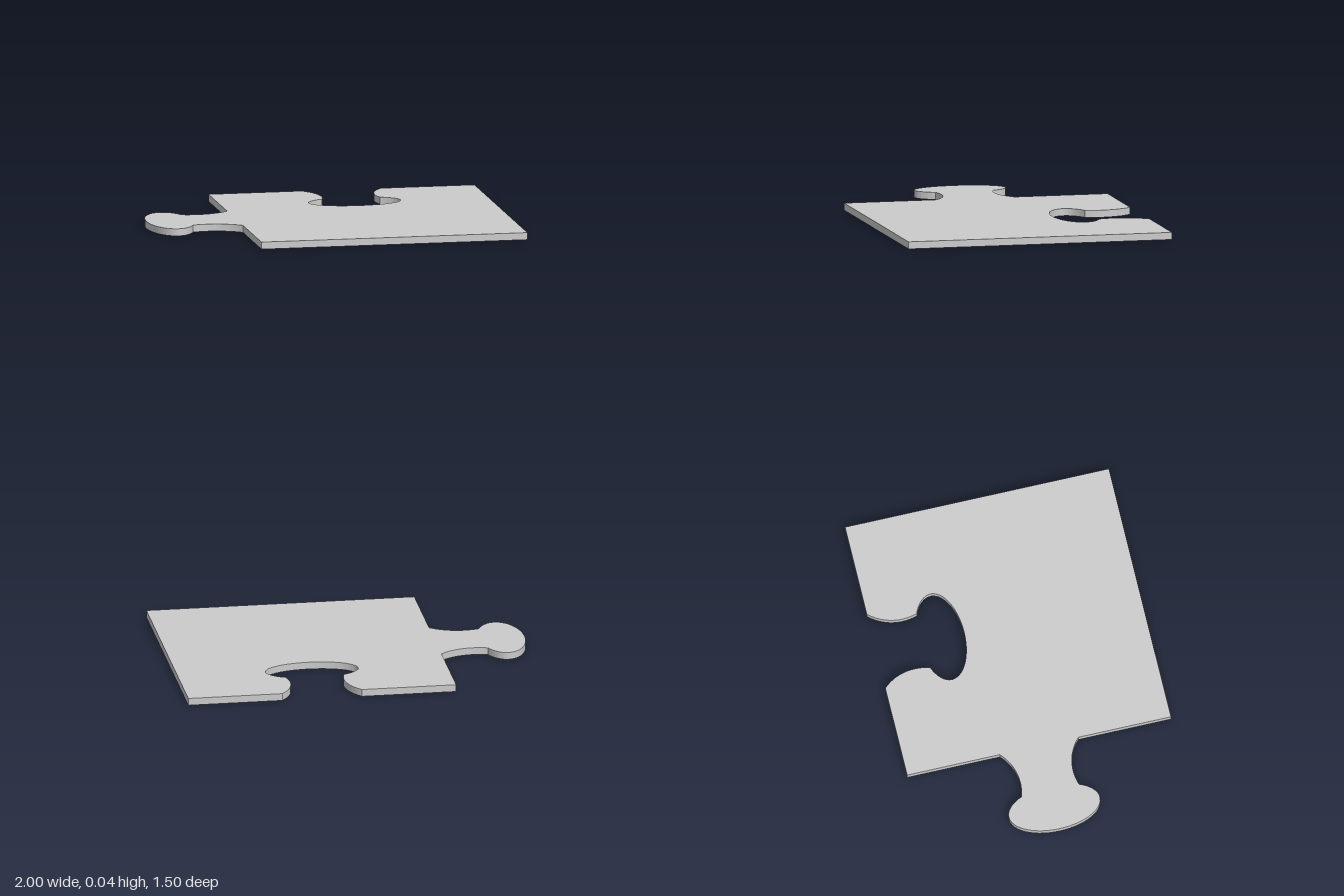
import * as THREE from 'three';

// Half-knob outline mirrored into a full one: x = depth from the edge, y = sideways offset
function knobProfile() {
  const half = [];
  // concave neck, a circular arc
  const r = 0.27, midDepth = 0.185, midWidth = 0.42, neckEnd = 0.27;
  for (let i = 0; i <= 12; i++) {
    const d = (neckEnd * i) / 12;
    half.push(new THREE.Vector2(d, midWidth - Math.sqrt(r * r - (d - midDepth) ** 2)));
  }
  // elliptical head, from the neck to the tip
  const start = Math.acos(-0.72);
  for (let i = 0; i <= 20; i++) {
    const a = start * (1 - i / 20);
    half.push(new THREE.Vector2(0.37 + 0.13 * Math.cos(a), 0.259 * Math.sin(a)));
  }
  const mirrored = half.slice(0, -1).reverse().map((p) => new THREE.Vector2(p.x, -p.y));
  return [...half, ...mirrored];
}

export function createModel() {
  const group = new THREE.Group();
  group.name = 'puzzlePiece';

  const knob = knobProfile();
  const thickness = 0.04;

  // Square outline with a socket in the back edge and a tab on the right edge
  const outline = [
    new THREE.Vector2(-0.5, -0.75),
    new THREE.Vector2(1, -0.75),
    new THREE.Vector2(1, 0.75),
    ...knob.map((p) => new THREE.Vector2(0.25 + p.y, 0.75 - p.x)),
    new THREE.Vector2(-0.5, 0.75),
    ...knob.map((p) => new THREE.Vector2(-0.5 - p.x, p.y)),
  ];

  const geometry = new THREE.ExtrudeGeometry(new THREE.Shape(outline), {
    depth: thickness,
    bevelEnabled: false,
  });
  geometry.rotateX(-Math.PI / 2); // lay flat on the ground

  const plate = new THREE.Mesh(geometry, new THREE.MeshStandardMaterial({ color: 0xcccccc }));
  plate.name = 'plate';
  group.add(plate);
  return group;
}
